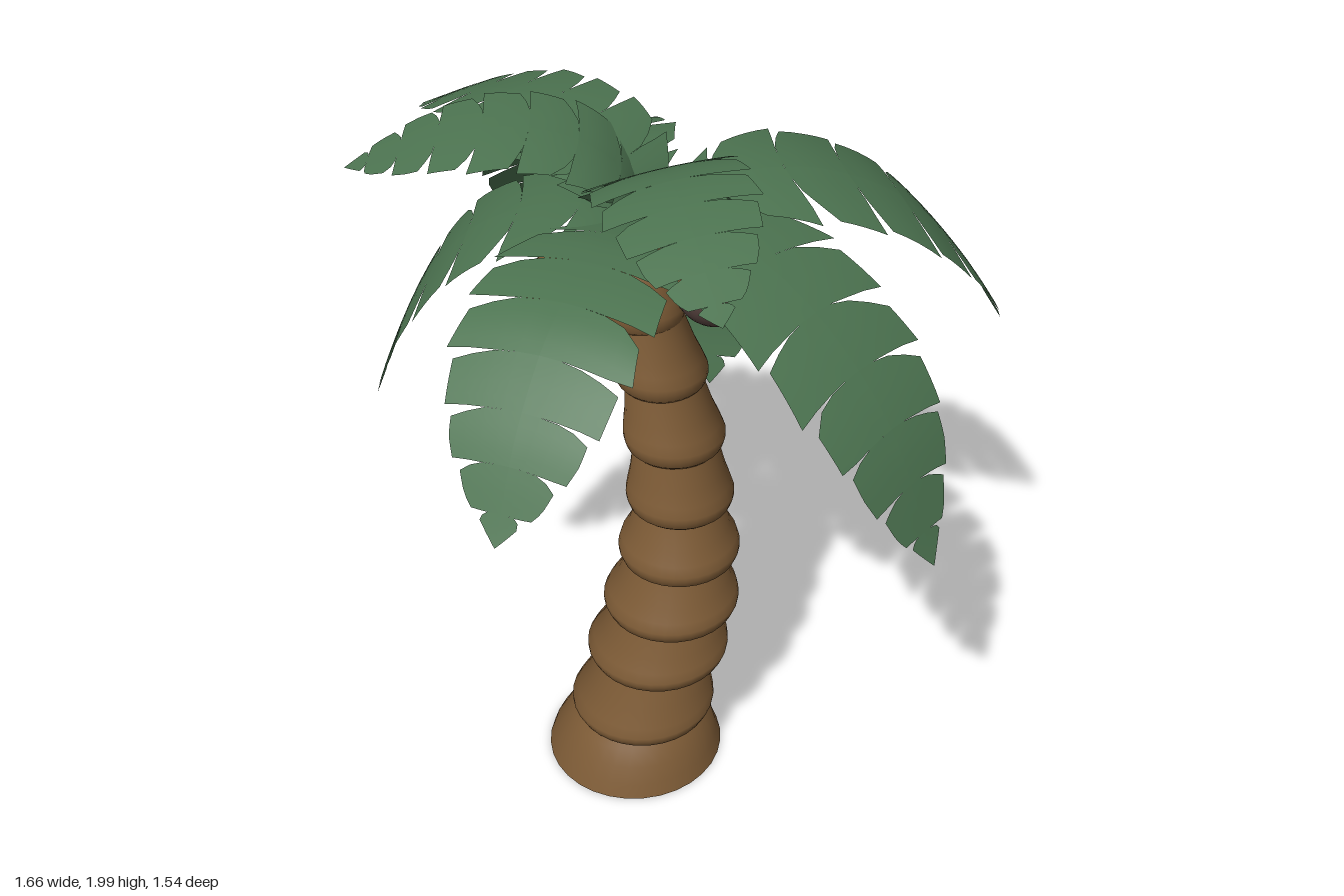
import * as THREE from 'three';

const bark = new THREE.MeshStandardMaterial({ color: 0x7d5b36 });
bark.name = 'bark brown';
const leaf = new THREE.MeshStandardMaterial({ color: 0x4c7350, side: THREE.DoubleSide });
leaf.name = 'leaf green';
const husk = new THREE.MeshStandardMaterial({ color: 0x57433f });
husk.name = 'husk dark brown';

let seed = 7;
const rand = () => (seed = (seed * 16807) % 2147483647) / 2147483647;

function add(parent, name, geometry, material) {
  const mesh = new THREE.Mesh(geometry, material);
  mesh.name = name;
  parent.add(mesh);
  return mesh;
}

// Trunk rings: bottom height, centre x, centre z, widest radius, top radius
const RINGS = [
  [0, -0.185, 0.055, 0.256, 0.175],
  [0.155, -0.16, 0.065, 0.207, 0.148],
  [0.375, -0.115, 0.08, 0.2, 0.148],
  [0.565, -0.077, 0.1, 0.188, 0.13],
  [0.755, -0.055, 0.113, 0.165, 0.112],
  [0.94, -0.052, 0.118, 0.144, 0.11],
  [1.13, -0.065, 0.115, 0.133, 0.1],
  [1.315, -0.095, 0.095, 0.12, 0.092],
  [1.495, -0.135, 0.075, 0.105, 0.078],
  [1.66, -0.148, 0.062],
];

function buildTrunk() {
  const trunk = new THREE.Group();
  trunk.name = 'trunk';
  for (let i = 0; i < RINGS.length - 1; i++) {
    const [y, x, z, r, rTop] = RINGS[i];
    const [y2, x2, z2] = RINGS[i + 1];
    const h = y2 - y;
    // The base flares to the ground; the rings above have a rounded lower lip
    const profile = i === 0
      ? [[r, 0], [r - 0.014, 0.04], [r - 0.036, 0.095], [r - 0.06, 0.135], [rTop, h + 0.01]]
      : [[r * 0.72, 0.012], [r * 0.88, 0], [r * 0.95, 0.01], [r * 0.995, 0.03], [r, 0.045],
        [r * 0.95, 0.075], [r * 0.45 + rTop * 0.55, h * 0.62], [rTop, h + 0.01]];
    if (i === RINGS.length - 2) profile.push([0.055, h + 0.03], [0, h + 0.036]);
    const geo = new THREE.LatheGeometry(profile.map(p => new THREE.Vector2(...p)), 32);
    // Lean each ring toward the centre of the next one
    const pos = geo.attributes.position;
    for (let k = 0; k < pos.count; k++) {
      const t = Math.max(0, pos.getY(k) - 0.04) / h;
      pos.setXYZ(k, pos.getX(k) + x + (x2 - x) * t, pos.getY(k) + y, pos.getZ(k) + z + (z2 - z) * t);
    }
    add(trunk, 'trunkRing', geo, bark);
  }
  const underside = add(trunk, 'trunkUnderside', new THREE.CircleGeometry(RINGS[0][3], 32), bark);
  underside.rotation.x = Math.PI / 2;
  underside.position.set(RINGS[0][1], 0, RINGS[0][2]);
  return trunk;
}

// Half-width along a frond, as fractions; lower fronds have a narrow stem
const TIP = [[0.6, 0.97], [0.78, 0.72], [0.9, 0.42], [1, 0]];
const BROAD = [[0, 0.25], [0.08, 0.7], [0.18, 0.95], [0.35, 1], ...TIP];
const STEMMED = [[0, 0.15], [0.1, 0.4], [0.2, 0.8], [0.33, 1], ...TIP];
function widthAt(table, u) {
  for (let i = 1; i < table.length; i++) {
    const [a, wa] = table[i - 1], [b, wb] = table[i];
    if (u <= b) return wa + (wb - wa) * (u - a) / (b - a);
  }
  return 0;
}

// One frond: toothed blades on both sides of a bent midrib, rolled sideways
function frondGeometry(dx, dz, profile, halfWidth, widths, roll) {
  const root = [-0.125, 0.03];
  const len = Math.hypot(dx, dz);
  const d = [dx / len, dz / len];
  const rib = new THREE.CatmullRomCurve3(profile.map(([r, y]) =>
    new THREE.Vector3(root[0] + d[0] * r, y, root[1] + d[1] * r)));
  const across = [0, 0.25, 0.5, 0.75, 1];
  const TEETH = 8, COLS = 4;
  const verts = [], index = [];
  for (const side of [1, -1]) {
    for (let i = 0; i < TEETH; i++) {
      const gap = 0.08 + 0.27 * rand();
      const notch = 0.35 + 0.35 * rand();
      const start = verts.length / 3;
      for (const b of across) {
        const open = gap * Math.max(0, (b - notch) / (1 - notch));
        for (let c = 0; c <= COLS; c++) {
          const a = c / COLS;
          const s = (i + open * 0.7 + a * (1 - open)) / TEETH;
          const u = Math.min(1, 1 - Math.pow(Math.max(0, 1 - s), 1.25) + 0.045 * b * b * (1 - s));
          const v = halfWidth * widthAt(widths, u) * b * (1 + 0.09 * (a - 0.4) * b);
          const p = rib.getPointAt(u);
          verts.push(p.x - d[1] * v * side, p.y - 0.35 * v * v + roll * v * side, p.z + d[0] * v * side);
        }
      }
      for (let r = 0; r < across.length - 1; r++) {
        for (let c = 0; c < COLS; c++) {
          const p = start + r * (COLS + 1) + c, q = p + COLS + 1;
          if (side > 0) index.push(p, q, p + 1, q, q + 1, p + 1);
          else index.push(p, p + 1, q, q, p + 1, q + 1);
        }
      }
    }
  }
  const geo = new THREE.BufferGeometry();
  geo.setAttribute('position', new THREE.Float32BufferAttribute(verts, 3));
  geo.setIndex(index);
  geo.computeVertexNormals();
  return geo;
}

// Upper fronds: heading x, heading z, half-width, midrib as [reach, height], roll
const ARCH = [[0, 1.76], [0.04, 1.86], [0.13, 1.94], [0.27, 1.98], [0.45, 1.965], [0.715, 1.87]];
const UPPER = [
  [-0.71, -0.1, 0.165, ARCH, 0.13],
  [0.1, 0.71, 0.175, ARCH, -0.13],
  [-0.53, -0.59, 0.19, [[0, 1.76], [0.06, 1.85], [0.18, 1.93], [0.4, 1.95], [0.6, 1.9], [0.8, 1.8]], 0],
];
// Lower fronds: heading x, heading z, half-width, midrib
const LOWER = [
  [0.955, -0.11, 0.25,
    [[0, 1.75], [0.13, 1.81], [0.28, 1.845], [0.45, 1.825], [0.65, 1.73], [0.84, 1.53], [0.96, 1.33]]],
  [-0.71, -0.14, 0.21, [[0, 1.74], [0.15, 1.78], [0.3, 1.76], [0.45, 1.68], [0.6, 1.48], [0.72, 1.19]]],
  [-0.27, -0.8, 0.225, [[0, 1.75], [0.22, 1.83], [0.45, 1.79], [0.66, 1.61], [0.845, 1.35]]],
  [0.24, -0.61, 0.215, [[0, 1.72], [0.2, 1.75], [0.43, 1.62], [0.59, 1.39], [0.66, 1.1], [0.64, 0.84]]],
  [0.62, 0.66, 0.225, [[0, 1.76], [0.25, 1.79], [0.5, 1.7], [0.74, 1.48], [0.9, 1.14]]],
  [-0.4, 0.74, 0.22, [[0, 1.75], [0.25, 1.79], [0.5, 1.75], [0.7, 1.59], [0.845, 1.36]]],
];

// Coconut: dark husk with a lighter cap
function buildCoconut(x, y, z, tilt) {
  const nut = new THREE.Group();
  nut.name = 'coconut';
  const R = 0.107, split = Math.acos(0.28);
  add(nut, 'coconutCap', new THREE.SphereGeometry(R, 28, 8, 0, Math.PI * 2, 0, split), bark);
  add(nut, 'coconutHusk', new THREE.SphereGeometry(R, 28, 12, 0, Math.PI * 2, split, Math.PI - split), husk);
  nut.position.set(x, y, z);
  nut.rotation.z = tilt;
  return nut;
}

export function createModel() {
  seed = 7;
  const palm = new THREE.Group();
  palm.name = 'palmTree';
  palm.add(buildTrunk());

  const crown = new THREE.Group();
  crown.name = 'crown';
  for (const [dx, dz, halfWidth, profile, roll] of UPPER) {
    add(crown, 'upperFrond', frondGeometry(dx, dz, profile, halfWidth, BROAD, roll), leaf);
  }
  for (const [dx, dz, halfWidth, profile] of LOWER) {
    add(crown, 'lowerFrond', frondGeometry(dx, dz, profile, halfWidth, STEMMED, 0), leaf);
  }
  palm.add(crown);

  palm.add(
    buildCoconut(0.04, 1.602, 0.115, 0),
    buildCoconut(-0.32, 1.625, 0.145, 0.5),
    buildCoconut(-0.11, 1.6, -0.03, 0),
  );
  return palm;
}
